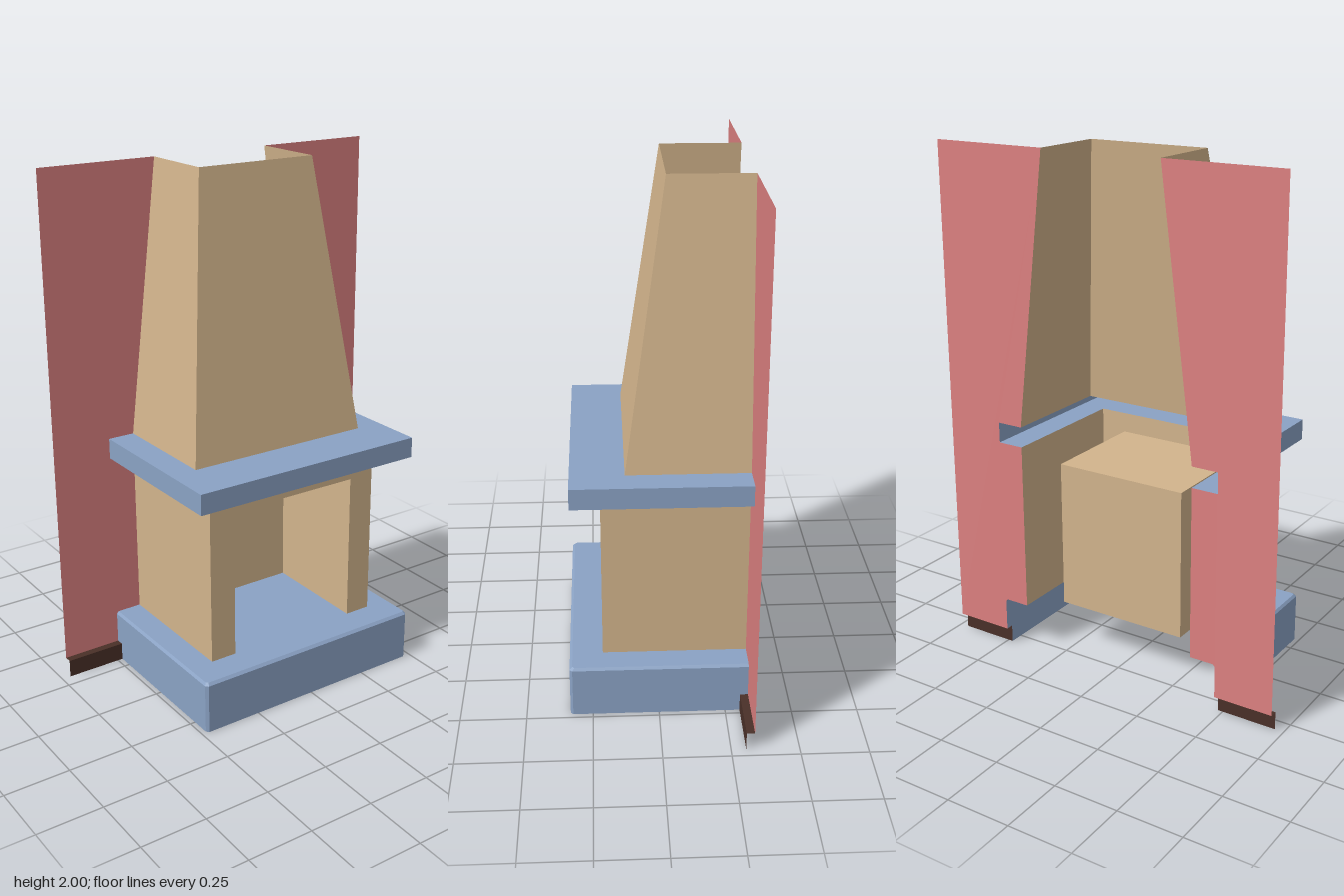
import * as THREE from 'three';

const BACK = -0.335;
const TAN = 0xd2b48c, BLUE = 0x8aa2c4, ROSE = 0xdc8080, BROWN = 0x4a3028;

function addMesh(parent, name, geometry, color) {
  const material = new THREE.MeshStandardMaterial({ color, side: THREE.DoubleSide, flatShading: true });
  const mesh = new THREE.Mesh(geometry, material);
  mesh.name = name;
  parent.add(mesh);
  return mesh;
}

// Skin through open rings of [x, y, z] points
function loft(rings) {
  const pos = [];
  for (let r = 0; r < rings.length - 1; r++) {
    for (let i = 0; i < rings[r].length - 1; i++) {
      const a = rings[r][i], b = rings[r][i + 1], c = rings[r + 1][i + 1], d = rings[r + 1][i];
      pos.push(...a, ...b, ...c, ...a, ...c, ...d);
    }
  }
  const g = new THREE.BufferGeometry();
  g.setAttribute('position', new THREE.Float32BufferAttribute(pos, 3));
  g.computeVertexNormals();
  return g;
}

// U-shaped ring around left, front and right, open to the wall
const uRing = (y, w, front, back = BACK) =>
  [[-w, y, back], [-w, y, front], [w, y, front], [w, y, back]];

// The same with chamfered front corners
const chamferRing = (y, w, front, c, back = BACK) =>
  [[-w, y, back], [-w, y, front - c], [-w + c, y, front], [w - c, y, front], [w, y, front - c], [w, y, back]];

const shapeOf = (pts) => new THREE.Shape(pts.map(([x, y]) => new THREE.Vector2(x, y)));

// Horizontal sheet from one half outline of [x, z], mirrored in x
function plate(half, y) {
  const mirrored = half.map(([x, z]) => [-x, z]).reverse();
  const pts = [...half, ...mirrored].map(([x, z]) => [x, -z]);
  return new THREE.ShapeGeometry(shapeOf(pts)).rotateX(-Math.PI / 2).translate(0, y, 0);
}

export function createModel() {
  const root = new THREE.Group();
  root.name = 'fireplace';

  // Hearth base: chamfered skirt, notched at the back for the skirting board
  const base = new THREE.Group();
  base.name = 'hearthBase';
  root.add(base);
  addMesh(base, 'hearthSkirt', loft([
    chamferRing(0, 0.48, 0.335, 0.01, -0.305),
    chamferRing(0.07, 0.48, 0.335, 0.01, -0.305),
    chamferRing(0.07, 0.48, 0.335, 0.01),
    chamferRing(0.193, 0.48, 0.335, 0.01),
    chamferRing(0.203, 0.472, 0.325, 0.008),
  ]), BLUE);
  // Slab includes the firebox floor, open between firebox and surround
  addMesh(base, 'hearthSlab', plate([
    [0.27, -0.23], [0.27, 0.21], [0.375, 0.21], [0.375, BACK],
    [0.472, BACK], [0.472, 0.317], [0.464, 0.325],
  ], 0.203), BLUE);

  // Surround: side walls and a front with the fire opening
  const surround = new THREE.Group();
  surround.name = 'surround';
  root.add(surround);
  for (const s of [-1, 1]) {
    const ends = s < 0 ? [BACK, 0.21] : [0.21, BACK];
    addMesh(surround, s < 0 ? 'rightSide' : 'leftSide',
      loft([0.203, 0.87].map((y) => ends.map((z) => [s * 0.375, y, z]))), TAN);
  }
  const front = shapeOf([
    [-0.375, 0.203], [-0.27, 0.203], [-0.27, 0.79], [0.27, 0.79],
    [0.27, 0.203], [0.375, 0.203], [0.375, 0.87], [-0.375, 0.87],
  ]);
  addMesh(surround, 'surroundFront', new THREE.ShapeGeometry(front).translate(0, 0, 0.21), TAN);

  // Firebox walls and ceiling
  const firebox = new THREE.Group();
  firebox.name = 'firebox';
  root.add(firebox);
  addMesh(firebox, 'fireboxWalls', loft([0.203, 0.79].map((y) =>
    [[-0.27, y, 0.21], [-0.27, y, -0.23], [0.27, y, -0.23], [0.27, y, 0.21]])), TAN);
  addMesh(firebox, 'fireboxCeiling', plate([[0.27, -0.23], [0.27, 0.21]], 0.79), TAN);

  // Mantel shelf
  const mantel = new THREE.Group();
  mantel.name = 'mantel';
  root.add(mantel);
  addMesh(mantel, 'mantelEdge', loft([uRing(0.87, 0.48, 0.32), uRing(0.95, 0.48, 0.32)]), BLUE);
  for (const [name, y, z] of [['mantelUnderside', 0.87, 0.21], ['mantelTop', 0.95, 0.12]]) {
    addMesh(mantel, name, plate([[0.375, z], [0.375, BACK], [0.48, BACK], [0.48, 0.32]], y), BLUE);
  }

  // Tapered chimney hood
  addMesh(root, 'chimneyHood', loft([uRing(0.95, 0.375, 0.12), uRing(2, 0.245, -0.03)]), TAN);

  // Wall panels cut around the fireplace, and skirting boards
  for (const s of [-1, 1]) {
    const side = s < 0 ? 'right' : 'left';
    const outline = [
      [0.715, 0.07], [0.715, 2], [0.245, 2], [0.375, 0.95], [0.48, 0.95], [0.48, 0.87],
      [0.375, 0.87], [0.375, 0.203], [0.472, 0.203], [0.48, 0.193], [0.48, 0.07],
    ].map(([x, y]) => [s * x, y]);
    addMesh(root, side + 'Wall', new THREE.ShapeGeometry(shapeOf(outline)).translate(0, 0, BACK), ROSE);

    const xs = s < 0 ? [-0.715, -0.48] : [0.48, 0.715];
    const rows = [[0, -0.305], [0.07, -0.305], [0.07, BACK]];
    addMesh(root, side + 'SkirtingBoard', loft(rows.map(([y, z]) => xs.map((x) => [x, y, z]))), BROWN);
  }
  return root;
}
